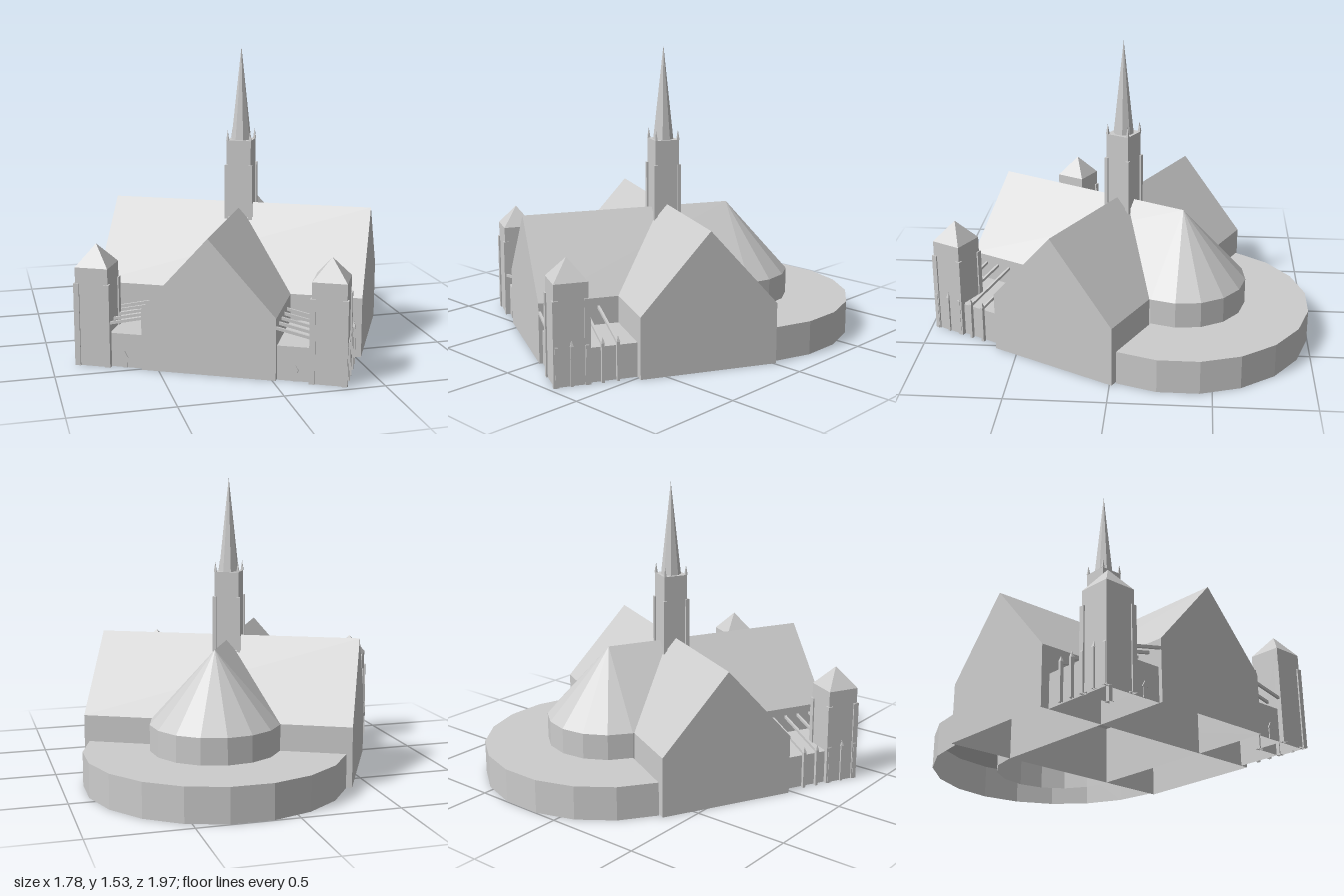
import * as THREE from 'three';

const stone = new THREE.MeshStandardMaterial({ color: 0xcccccc, flatShading: true, side: THREE.DoubleSide });
stone.name = 'pale stone';

function add(parent, name, geometry, x = 0, y = 0, z = 0) {
  const mesh = new THREE.Mesh(geometry, stone);
  mesh.name = name;
  mesh.position.set(x, y, z);
  parent.add(mesh);
  return mesh;
}

// Box standing on y0, without its underside
function block(parent, name, w, y0, y1, d, x, z) {
  const g = new THREE.BoxGeometry(w, y1 - y0, d);
  const index = Array.from(g.index.array);
  index.splice(18, 6);
  g.setIndex(index);
  g.clearGroups();
  return add(parent, name, g, x, (y0 + y1) / 2, z);
}

// Hollow hall along z: walls and pitched roof, with gable walls where asked
function hall(parent, name, half, eaves, ridge, z0, z1, ends) {
  const hallGroup = new THREE.Group();
  hallGroup.name = name;
  parent.add(hallGroup);
  const section = [[half, 0], [half, eaves], [0, ridge], [-half, eaves], [-half, 0]];
  const pos = [];
  for (let i = 0; i < 4; i++) {
    const [ax, ay] = section[i], [bx, by] = section[i + 1];
    pos.push(ax, ay, z1, ax, ay, z0, bx, by, z0, ax, ay, z1, bx, by, z0, bx, by, z1);
  }
  const g = new THREE.BufferGeometry();
  g.setAttribute('position', new THREE.Float32BufferAttribute(pos, 3));
  g.computeVertexNormals();
  add(hallGroup, 'wallsAndRoof', g);
  const gable = new THREE.Shape(section.map(([x, y]) => new THREE.Vector2(x, y)));
  for (const z of ends) {
    const wall = add(hallGroup, 'gableWall', new THREE.ShapeGeometry(gable), 0, 0, z);
    if (z === z0) wall.rotation.y = Math.PI;
  }
  return hallGroup;
}

// Four-sided pyramid roof with its edges square to the axes
function pyramid(side, height) {
  return new THREE.ConeGeometry(side / Math.SQRT2, height, 4, 1, true).rotateY(Math.PI / 4);
}

function corners(half, fn) {
  for (const sx of [-1, 1]) for (const sz of [-1, 1]) fn(sx * half, sz * half);
}

export function createModel() {
  const model = new THREE.Group();
  model.name = 'church';
  const church = new THREE.Group();
  church.name = 'churchBody';
  church.position.set(0.066, 0, -0.016);
  church.rotation.y = -0.473;
  model.add(church);

  // Nave and crossing transept
  const apseZ = -0.36;
  hall(church, 'nave', 0.333, 0.31, 0.68, apseZ, 0.761, [0.761]);
  const transept = hall(church, 'transept', 0.352, 0.31, 0.7, -0.697, 0.697, [-0.697, 0.697]);
  transept.rotation.y = Math.PI / 2;

  // Rounded apse and the low walkway around it
  const a = Math.PI / 2, b = Math.PI;
  add(church, 'apseWall', new THREE.CylinderGeometry(0.333, 0.333, 0.31, 8, 1, true, a, b), 0, 0.155, apseZ);
  add(church, 'apseRoof', new THREE.ConeGeometry(0.333, 0.37, 8, 1, true, a, b), 0, 0.495, apseZ);
  add(church, 'ambulatoryWall', new THREE.CylinderGeometry(0.668, 0.668, 0.175, 10, 1, true, a, b), 0, 0.0875, apseZ);
  add(church, 'ambulatoryRoof', new THREE.RingGeometry(0.325, 0.668, 10, 1, 0, Math.PI).rotateX(-a), 0, 0.175, apseZ);

  // Central tower with buttresses, pinnacles and spire
  const tower = new THREE.Group();
  tower.name = 'centralTower';
  church.add(tower);
  block(tower, 'towerBody', 0.13, 0.58, 1.04, 0.13, 0, 0);
  corners(0.064, (x, z) => {
    block(tower, 'towerButtress', 0.02, 0.56, 0.91, 0.02, x, z);
    add(tower, 'pinnacle', pyramid(0.014, 0.055), x * 0.94, 1.0675, z * 0.94);
  });
  add(tower, 'spire', new THREE.ConeGeometry(0.053, 0.49, 8, 1, true).rotateY(Math.PI / 8), 0, 1.285, 0);

  // Pointed doorway outline shared by both aisles
  const door = new THREE.Shape();
  door.moveTo(-0.011, 0);
  [[0.011, 0], [0.011, 0.052], [0.017, 0.052], [0, 0.083], [-0.017, 0.052], [-0.011, 0.052]]
    .forEach(([x, y]) => door.lineTo(x, y));
  const doorGeometry = new THREE.ExtrudeGeometry(door, { depth: 0.006, bevelEnabled: false });

  for (const s of [-1, 1]) {
    const side = s < 0 ? 'right' : 'left';

    // Low flat-roofed aisle in the front corner
    block(church, side + 'Aisle', 0.317, 0, 0.172, 0.39, s * 0.4935, 0.548);
    add(church, side + 'AisleDoor', doorGeometry, s * 0.425, 0, 0.742);

    // Flying buttresses sloping from outer piers to the nave wall
    for (let i = 0; i < 5; i++) {
      const z = 0.455 + i * 0.075;
      block(church, 'pier', 0.018, 0, 0.195, 0.014, s * 0.668, z);
      add(church, 'pierCap', pyramid(0.018, 0.03), s * 0.668, 0.21, z);
      const run = 0.34, rise = 0.075;
      const beam = add(church, 'flyingButtress',
        new THREE.BoxGeometry(Math.hypot(run, rise), 0.014, 0.012), s * 0.5, 0.226, z);
      beam.rotation.z = -s * Math.atan2(rise, run);
    }

    // Corner tower
    const corner = new THREE.Group();
    corner.name = side + 'CornerTower';
    corner.position.set(s * 0.584, 0, 0.679);
    church.add(corner);
    block(corner, 'cornerTowerBody', 0.167, 0, 0.5, 0.167, 0, 0);
    add(corner, 'cornerTowerRoof', pyramid(0.167, 0.105), 0, 0.5525, 0);
    corners(0.077, (x, z) => block(corner, 'cornerButtress', 0.028, 0, 0.42, 0.028, x, z));
  }
  return model;
}
